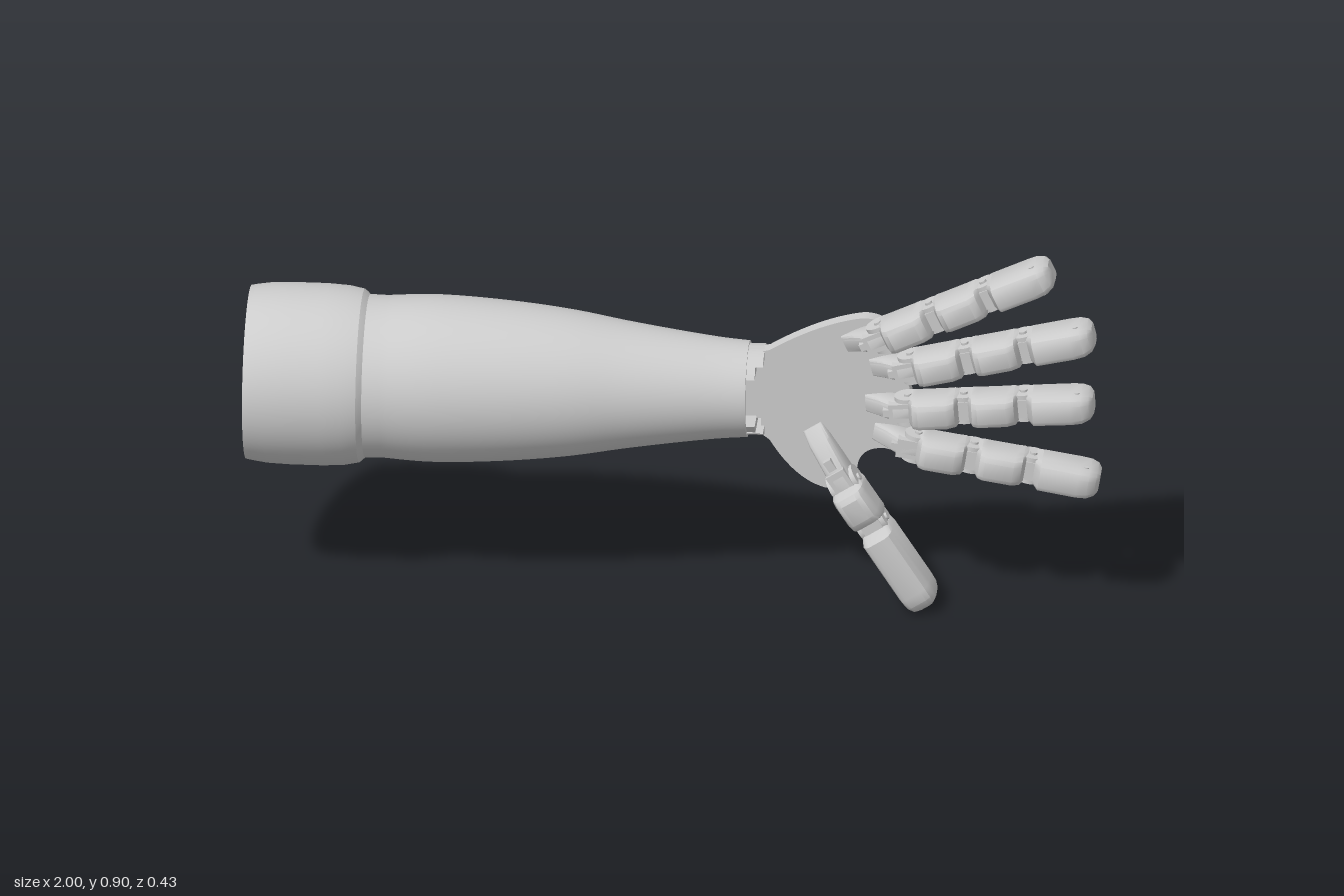
import * as THREE from 'three';
import { toCreasedNormals } from 'three/addons/utils/BufferGeometryUtils.js';

const material = new THREE.MeshStandardMaterial({ color: 0xcccccc });
const AXIS_Y = 0.525;

function add(parent, name, geometry, x = 0, y = 0, z = 0) {
  const mesh = new THREE.Mesh(geometry, material);
  mesh.name = name;
  mesh.position.set(x, y, z);
  parent.add(mesh);
  return mesh;
}

// Finger cross-section: chamfered back (t = 0), rounded front (t = 1)
const half = [[0.72, 0], [1, 0.15], [1, 0.62], [0.94, 0.8], [0.78, 0.94], [0.5, 1]];
const ring = [...half, ...half.map(([v, t]) => [-v, t]).reverse()];

// Loft along x through sections [x, half width, back z, front z]
function loft(sections) {
  const rings = sections.map(([x, w, z0, z1]) =>
    ring.map(([v, t]) => [x, v * w, z0 + t * (z1 - z0)]));
  const mids = sections.map(([x, , z0, z1]) => [x, 0, (z0 + z1) / 2]);
  const last = rings.length - 1;
  const pos = [];
  for (let j = 0; j < ring.length; j++) {
    const k = (j + 1) % ring.length;
    for (let i = 0; i < last; i++) {
      const a = rings[i], b = rings[i + 1];
      pos.push(...a[j], ...a[k], ...b[j], ...a[k], ...b[k], ...b[j]);
    }
    pos.push(...mids[0], ...rings[0][k], ...rings[0][j]);
    pos.push(...mids[last], ...rings[last][j], ...rings[last][k]);
  }
  const geometry = new THREE.BufferGeometry();
  geometry.setAttribute('position', new THREE.Float32BufferAttribute(pos, 3));
  geometry.computeVertexNormals();
  return toCreasedNormals(geometry, 0.6);
}

// Hinge: narrow core, round knuckle and protruding pin
function addHinge(parent, x, width) {
  add(parent, 'hingeCore', new THREE.BoxGeometry(0.09, width * 0.6, 0.06), x, 0, 0.06);
  add(parent, 'hingeKnuckle', new THREE.CylinderGeometry(0.032, 0.032, width * 0.88, 24), x, 0, 0.056);
  add(parent, 'hingePin', new THREE.CylinderGeometry(0.009, 0.009, width * 1.02, 12), x, 0, 0.06);
}

// Middle segment with a long back and a shorter sloped front
function segment(start, end, w) {
  return loft([
    [start, w * 0.85, 0.02, 0.085],
    [start + 0.012, w, 0.02, 0.118],
    [start + 0.025, w, 0.02, 0.127],
    [end - 0.03, w, 0.02, 0.127],
    [end - 0.012, w, 0.02, 0.115],
    [end, w * 0.85, 0.022, 0.075],
  ]);
}

// Rounded fingertip ending at x = 0
function fingertip(start, w) {
  return loft([
    [start, w * 0.88, 0.02, 0.095],
    [start + 0.015, w, 0.02, 0.127],
    [-0.05, w, 0.02, 0.13],
    [-0.025, w * 0.96, 0.02, 0.127],
    [-0.008, w * 0.8, 0.024, 0.115],
    [0, w * 0.55, 0.035, 0.098],
  ]);
}

// Wedge that fixes a digit to the palm, with a small raised clip
function addMount(parent, start, end, w) {
  add(parent, 'mount', loft([
    [start, w * 0.9, 0.01, 0.024],
    [start + 0.035, w, 0.01, 0.055],
    [end - 0.05, w, 0.01, 0.09],
    [end, w, 0.015, 0.09],
  ]));
  add(parent, 'mountClip', new THREE.BoxGeometry(0.028, w * 0.7, 0.02), (start + end) / 2, 0, 0.075);
}

function makeFinger(name, x, y, degrees) {
  const finger = new THREE.Group();
  finger.name = name;
  finger.position.set(x, y, 0);
  finger.rotation.z = THREE.MathUtils.degToRad(degrees);
  const w = 0.038;
  addMount(finger, -0.54, -0.42, 0.024);
  add(finger, 'proximalSegment', segment(-0.435, -0.312, w));
  add(finger, 'middleSegment', segment(-0.295, -0.172, w));
  add(finger, 'fingertip', fingertip(-0.155, w));
  for (const hx of [-0.435, -0.303, -0.163]) addHinge(finger, hx, w * 2);
  add(finger, 'tipPin', new THREE.CylinderGeometry(0.006, 0.006, w * 2.03, 10), -0.035, 0, 0.092);
  return finger;
}

function makeThumb() {
  const thumb = new THREE.Group();
  thumb.name = 'thumb';
  thumb.position.set(0.592, 0.023, 0);
  thumb.rotation.z = THREE.MathUtils.degToRad(-57);
  addMount(thumb, -0.5, -0.33, 0.028);
  add(thumb, 'proximalSegment', segment(-0.35, -0.24, 0.041));
  add(thumb, 'thumbTip', fingertip(-0.222, 0.041));
  for (const hx of [-0.35, -0.232]) addHinge(thumb, hx, 0.08);
  return thumb;
}

// Forearm shell turned around the x axis, with a bulged elbow cuff
function makeForearm() {
  const curve = new THREE.SplineCurve([
    [0.19, -0.68], [0.196, -0.56], [0.188, -0.4], [0.172, -0.25], [0.15, -0.12],
    [0.132, 0], [0.119, 0.1], [0.113, 0.17],
  ].map(([r, x]) => new THREE.Vector2(r, x)));
  const profile = [
    [0, -1], [0.203, -1], [0.206, -0.985], [0.211, -0.95], [0.213, -0.9], [0.213, -0.82],
    [0.21, -0.77], [0.203, -0.735], [0.197, -0.728], [0.191, -0.722],
  ].map(([r, x]) => new THREE.Vector2(r, x));
  profile.push(...curve.getPoints(32));
  profile.push(...[[0.103, 0.17], [0.103, 0.145], [0, 0.145]].map(([r, x]) => new THREE.Vector2(r, x)));
  const geometry = new THREE.LatheGeometry(profile, 64);
  geometry.rotateZ(-Math.PI / 2);
  return toCreasedNormals(geometry, 0.5);
}

// Circular segment of the wrist, cut by a chord at height h
function wristSegment(radius, h, depth, up) {
  const a = Math.asin(h / radius);
  const shape = new THREE.Shape();
  shape.absarc(0, 0, radius, up ? a : Math.PI + a, up ? Math.PI - a : 2 * Math.PI - a, false);
  shape.closePath();
  const geometry = new THREE.ExtrudeGeometry(shape, { depth, bevelEnabled: false, curveSegments: 24 });
  return toCreasedNormals(geometry.rotateY(Math.PI / 2), 0.5);
}

// Flat palm with a thumb lobe and a notch beside it
function makePalm() {
  const s = new THREE.Shape();
  s.moveTo(0.2, 0.63);
  s.lineTo(0.22, 0.635);
  s.quadraticCurveTo(0.34, 0.71, 0.44, 0.725);
  s.quadraticCurveTo(0.49, 0.725, 0.51, 0.69);
  s.lineTo(0.585, 0.41);
  s.quadraticCurveTo(0.585, 0.375, 0.555, 0.378);
  s.lineTo(0.49, 0.393);
  s.quadraticCurveTo(0.43, 0.395, 0.425, 0.34);
  s.quadraticCurveTo(0.4, 0.28, 0.35, 0.287);
  s.quadraticCurveTo(0.28, 0.305, 0.22, 0.405);
  s.lineTo(0.2, 0.42);
  s.closePath();
  const geometry = new THREE.ExtrudeGeometry(s, { depth: 0.035, bevelEnabled: false, curveSegments: 12 });
  return toCreasedNormals(geometry.translate(0, 0, -0.015), 0.5);
}

export function createModel() {
  const model = new THREE.Group();
  model.name = 'mechanicalArm';

  add(model, 'forearm', makeForearm(), 0, AXIS_Y, 0);

  // Wrist fork and hinge
  for (const up of [true, false]) {
    add(model, 'wristStep', wristSegment(0.103, 0.06, 0.05, up), 0.14, AXIS_Y, 0);
    add(model, 'wristFork', wristSegment(0.107, 0.085, 0.066, up), 0.142, AXIS_Y, 0);
  }
  add(model, 'wristTongue', new THREE.BoxGeometry(0.07, 0.13, 0.035), 0.175, AXIS_Y, 0.0025);
  add(model, 'wristLatch', new THREE.BoxGeometry(0.04, 0.05, 0.02), 0.16, AXIS_Y, -0.055);
  add(model, 'palm', makePalm());

  // Four fingers fanned out, then the thumb
  const fingers = [
    ['indexFinger', 0.885, 0.885, 25],
    ['middleFinger', 0.983, 0.725, 13.5],
    ['ringFinger', 0.983, 0.55, 4.5],
    ['littleFinger', 0.997, 0.352, -9],
  ];
  for (const [name, x, y, degrees] of fingers) model.add(makeFinger(name, x, y, degrees));
  model.add(makeThumb());
  return model;
}
